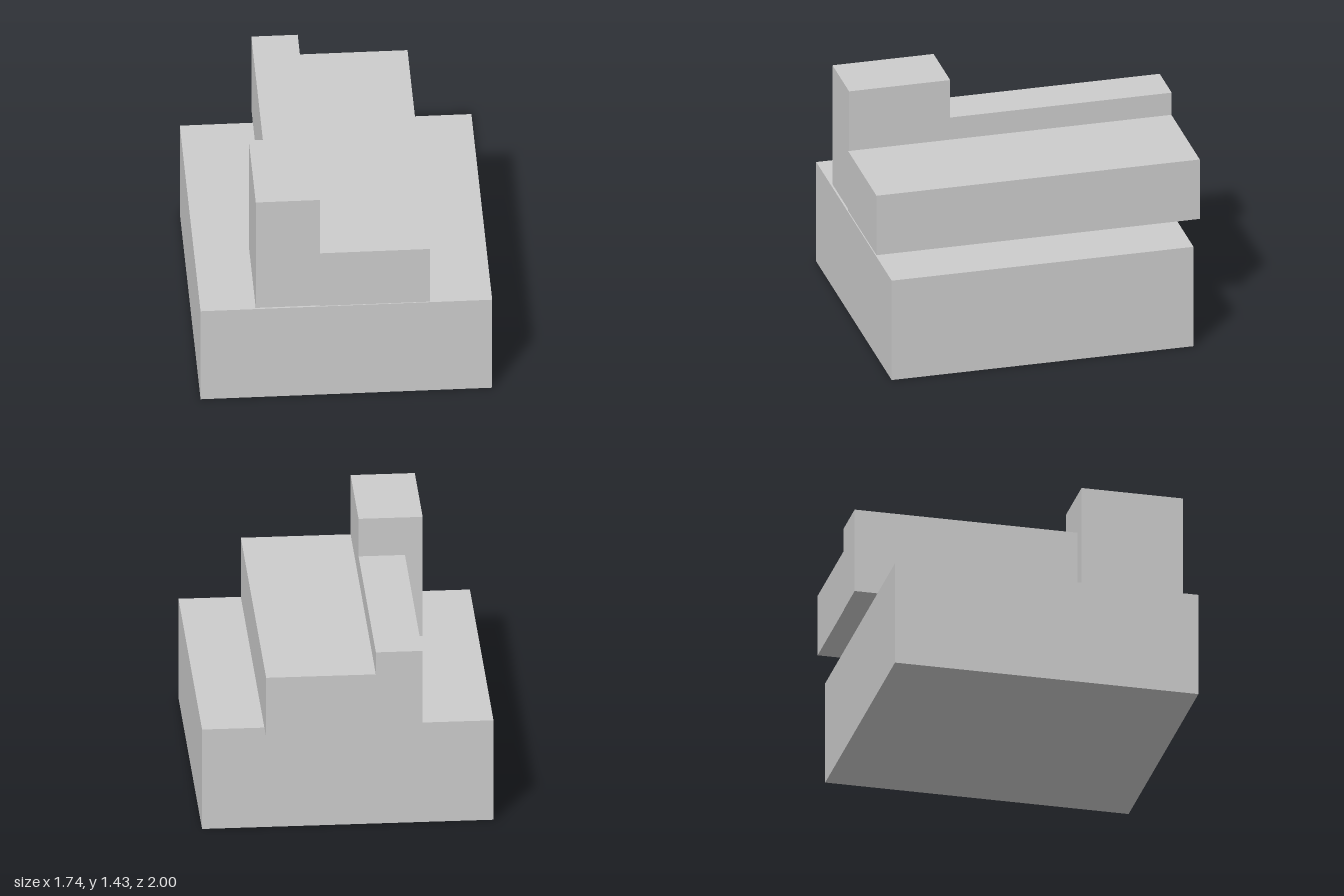
import * as THREE from 'three';

export function createModel() {
  const group = new THREE.Group();
  const lightGrey = new THREE.MeshStandardMaterial({ color: 0xcccccc });
  lightGrey.name = 'light grey';

  // Block spanning the given [min, max] range on each axis
  const block = (name, [x0, x1], [y0, y1], [z0, z1]) => {
    const mesh = new THREE.Mesh(new THREE.BoxGeometry(x1 - x0, y1 - y0, z1 - z0), lightGrey);
    mesh.name = name;
    mesh.position.set((x0 + x1) / 2, (y0 + y1) / 2, (z0 + z1) / 2);
    group.add(mesh);
  };

  // Wide plinth, set in at the back so the upper blocks overhang it
  block('base', [-0.87, 0.87], [0, 0.652], [-0.86, 1]);
  // Low hall along the full depth
  block('mainHall', [-0.157, 0.498], [0.652, 1.042], [-0.998, 0.994]);
  // Taller narrow wing behind the tower
  block('rearWing', [-0.434, -0.157], [0.652, 1.187], [-1, 0.365]);
  // Tower at the front
  block('frontTower', [-0.54, -0.157], [0.652, 1.433], [0.365, 0.988]);

  return group;
}
